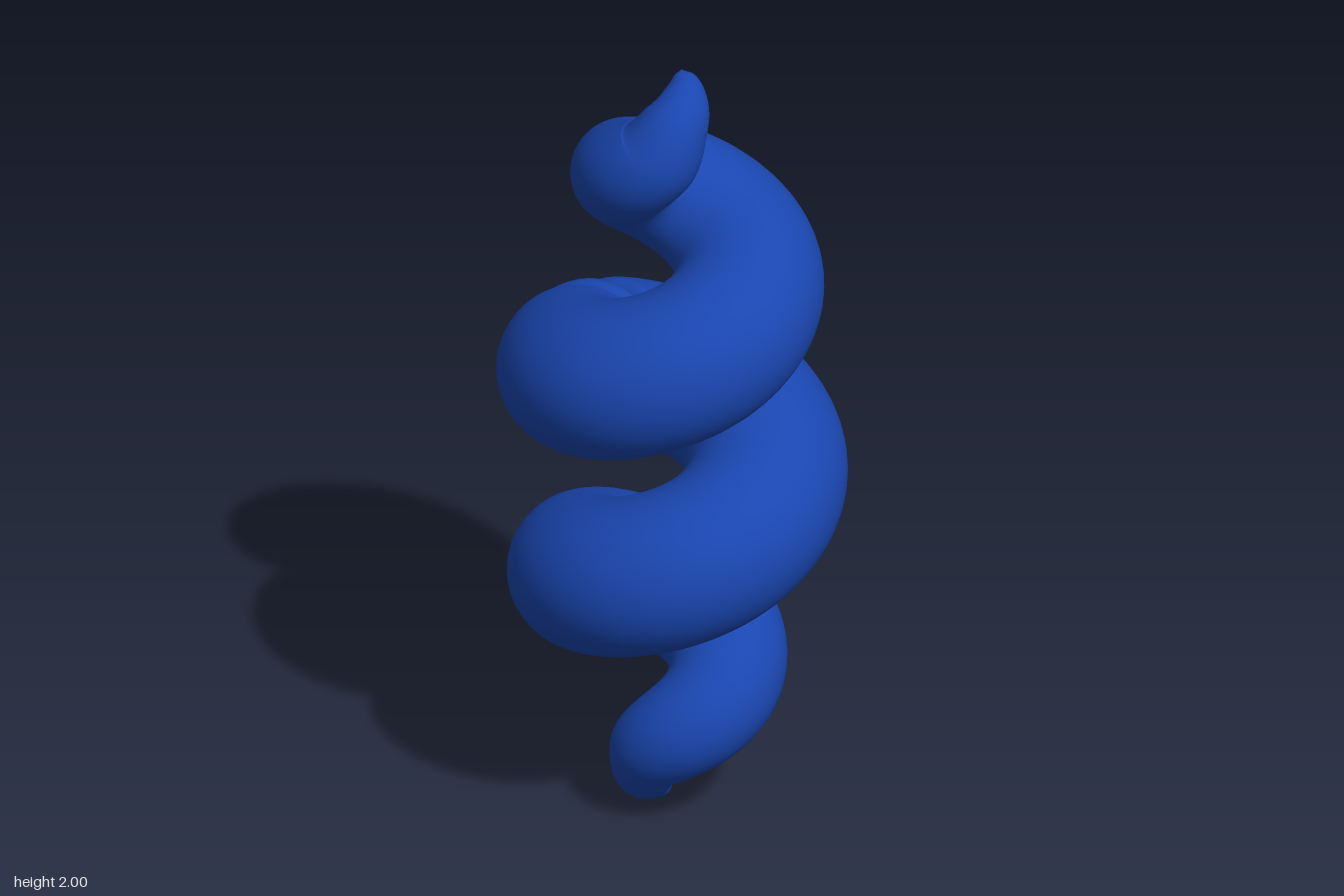
import * as THREE from 'three';

// Half of the coil, middle to tip: [quarter turns, coil radius, tube radius, drop from the middle]
const KEYS = [
  [-1, 0.22, 0.19, -0.14], [0, 0.22, 0.19, 0], [1, 0.222, 0.19, 0.14], [2, 0.228, 0.19, 0.272],
  [3, 0.19, 0.18, 0.41], [4, 0.145, 0.156, 0.55], [5, 0.12, 0.132, 0.68], [6, 0.092, 0.106, 0.805],
  [6.35, 0.075, 0.08, 0.89], [6.7, 0.045, 0.052, 0.95], [7, 0.025, 0.024, 0.985], [7.15, 0.02, 0, 0.997],
];
const END = 7.15;

// Smooth interpolation of one column of KEYS
function sample(k, col) {
  let i = 0;
  while (i < KEYS.length - 2 && k > KEYS[i + 1][0]) i++;
  const slope = (n) => {
    const p = KEYS[Math.max(n - 1, 0)], q = KEYS[Math.min(n + 1, KEYS.length - 1)];
    return (q[col] - p[col]) / (q[0] - p[0]);
  };
  const a = KEYS[i], b = KEYS[i + 1], h = b[0] - a[0], t = (k - a[0]) / h;
  const t2 = t * t, t3 = t2 * t;
  return (2 * t3 - 3 * t2 + 1) * a[col] + (t3 - 2 * t2 + t) * h * slope(i)
    + (3 * t2 - 2 * t3) * b[col] + (t3 - t2) * h * slope(i + 1);
}

const radial = (k) => {
  const angle = (k - 1) * Math.PI / 2;
  return new THREE.Vector3(Math.cos(angle), 0, Math.sin(angle));
};

function center(k) {
  const m = Math.min(Math.abs(k), END);
  const p = radial(k).multiplyScalar(sample(m, 1));
  p.y = 1 - Math.sign(k) * sample(m, 3);
  return p;
}

// Two wrinkled pinches where the halves of the coil meet
function pinch(k, angle) {
  const dent = (at, width) => Math.exp(-(((k - at) / width) ** 2));
  const wrinkle = 1 + 0.25 * Math.sin(angle * 7 + k * 20) + 0.15 * Math.sin(angle * 13);
  return (0.045 * dent(-0.83, 0.045) + 0.045 * dent(-1.08, 0.05)) * wrinkle;
}

function coilGeometry(rings, sides) {
  const positions = [], index = [];
  for (let i = 0; i <= rings; i++) {
    const k = -END + (2 * END * i) / rings;
    const c = center(k), e = 0.01;
    const lo = Math.max(k - e, -END), hi = Math.min(k + e, END);
    const T = center(hi).sub(center(lo)).normalize();
    const N = radial(k);
    N.addScaledVector(T, -N.dot(T)).normalize();
    const B = new THREE.Vector3().crossVectors(T, N);
    const tube = Math.max(sample(Math.abs(k), 2), 0.001);
    for (let j = 0; j < sides; j++) {
      const angle = (j / sides) * Math.PI * 2;
      const r = tube - pinch(k, angle);
      const p = c.clone().addScaledVector(N, r * Math.cos(angle)).addScaledVector(B, r * Math.sin(angle));
      positions.push(p.x, p.y, p.z);
      if (i === rings) continue;
      const j2 = (j + 1) % sides;
      const a = i * sides + j, b = i * sides + j2;
      index.push(a, b, a + sides, b, b + sides, a + sides);
    }
  }
  const geometry = new THREE.BufferGeometry();
  geometry.setAttribute('position', new THREE.Float32BufferAttribute(positions, 3));
  geometry.setIndex(index);
  geometry.computeVertexNormals();
  return geometry;
}

export function createModel() {
  const group = new THREE.Group();
  group.name = 'spiral';
  const coil = new THREE.Mesh(coilGeometry(600, 48), new THREE.MeshStandardMaterial({ color: 0x1a46b0 }));
  coil.name = 'taperedCoil';
  group.add(coil);
  return group;
}
